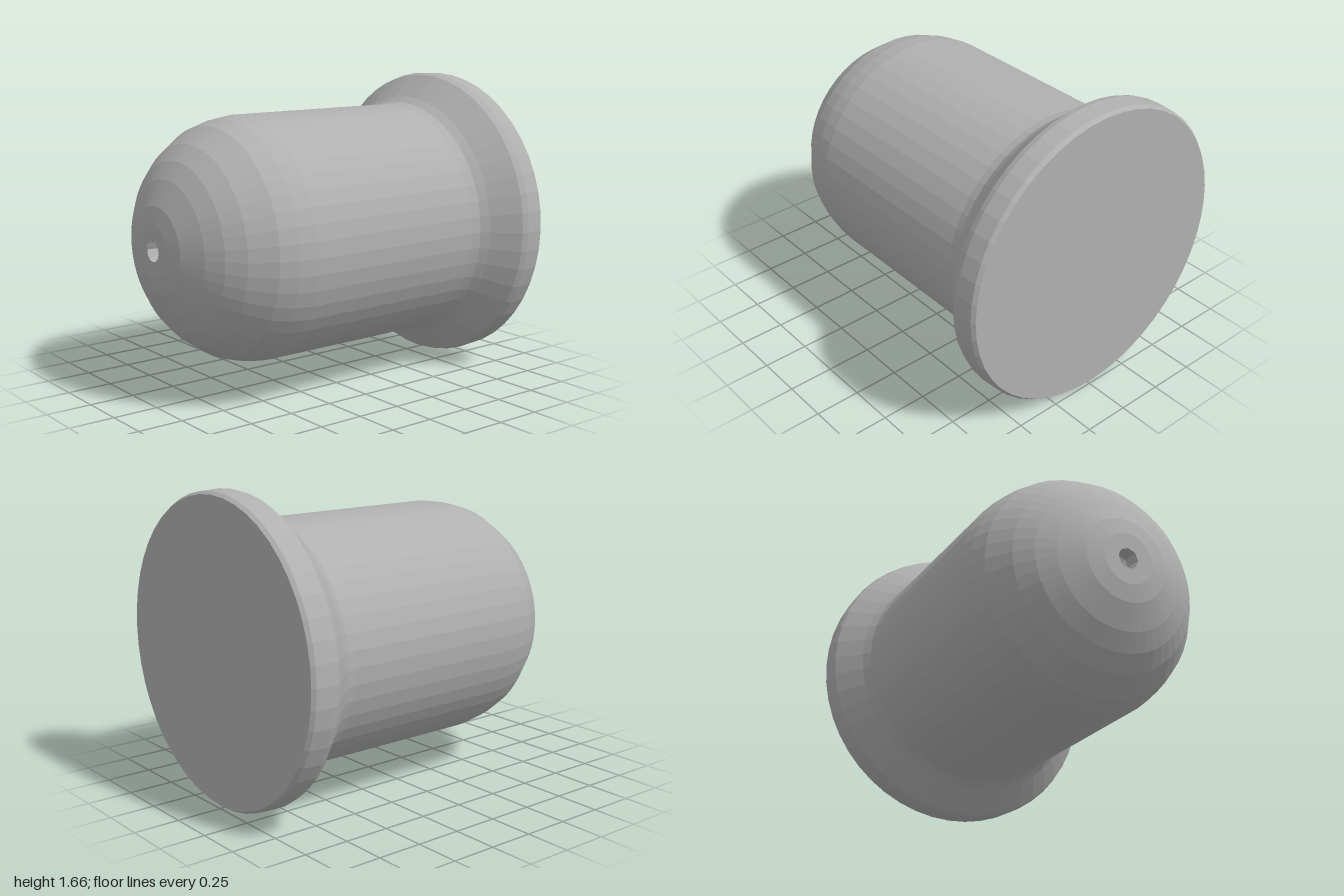
import * as THREE from 'three';

export function createModel() {
  const group = new THREE.Group();
  const grey = new THREE.MeshStandardMaterial({ color: 0xb0b0b0, flatShading: true });
  grey.name = 'plain grey';
  const axisHeight = 0.83;

  // Turns a [radius, z] profile, listed from back to front, around the long axis
  function turned(name, profile, sides) {
    const points = profile.map(([r, z]) => new THREE.Vector2(r, z));
    const geometry = new THREE.LatheGeometry(points, sides);
    geometry.rotateX(Math.PI / 2);
    const mesh = new THREE.Mesh(geometry, grey);
    mesh.name = name;
    mesh.position.y = axisHeight;
    group.add(mesh);
  }

  // Closed back disc, chamfered rim and flared shoulder
  turned('flange', [
    [0, -1], [0.81, -1], [0.825, -0.98], [0.83, -0.88], [0.82, -0.845],
    [0.7, -0.715], [0.67, -0.67], [0.66, -0.62],
  ], 48);

  // Straight barrel
  turned('barrel', [[0.66, -0.62], [0.66, 0.45]], 48);

  // Rounded nose, slightly flattened at the tip
  turned('nose', [
    [0.66, 0.45], [0.645, 0.55], [0.615, 0.65], [0.53, 0.78], [0.45, 0.86],
    [0.36, 0.92], [0.23, 0.98], [0.14, 1], [0.055, 1],
  ], 48);

  // Small pit in the tip
  turned('tipHole', [[0.058, 1], [0.05, 0.92], [0, 0.9]], 8);

  return group;
}
